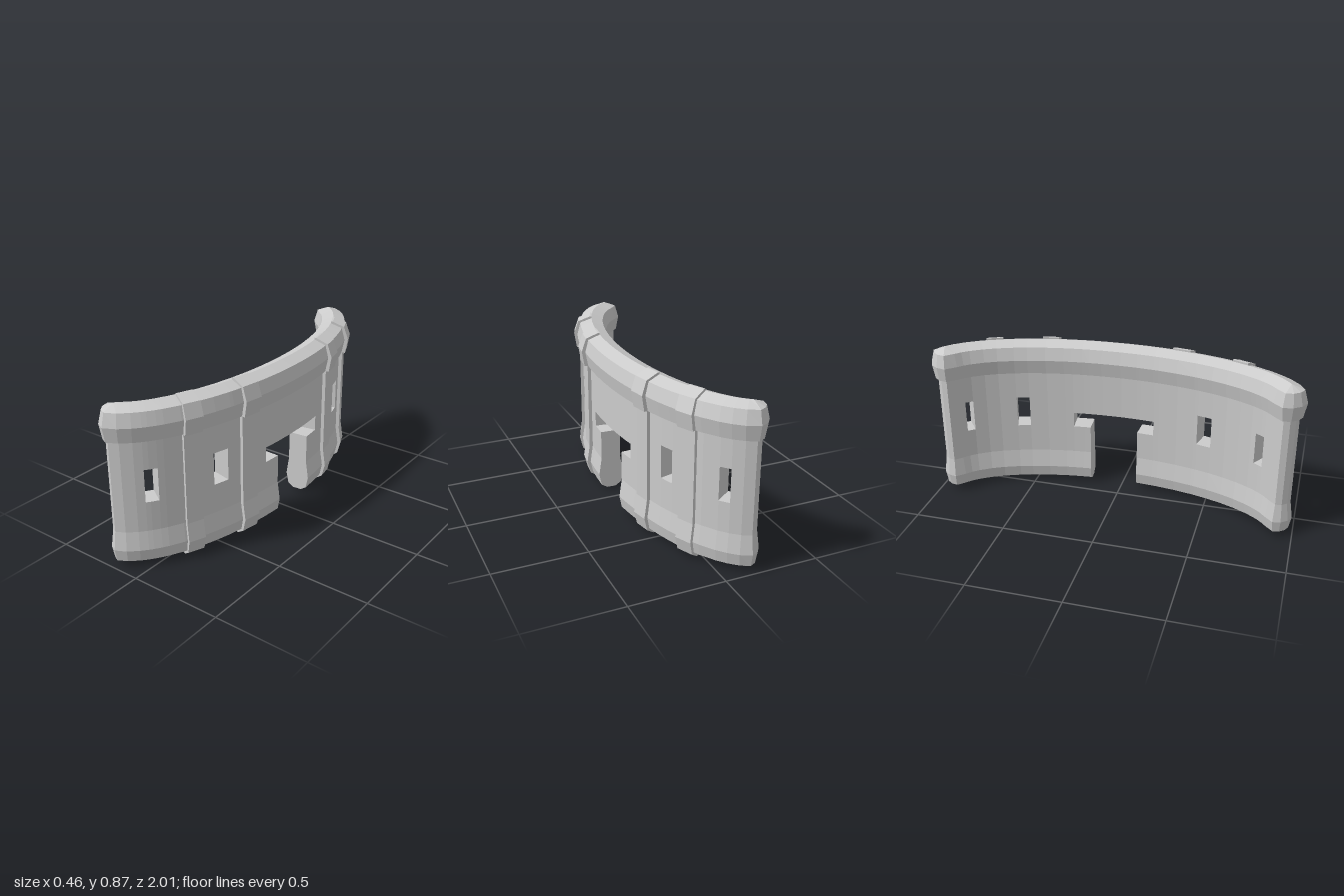
import * as THREE from 'three';

const material = new THREE.MeshStandardMaterial({ color: 0xcccccc, flatShading: true, side: THREE.DoubleSide });

const END = 0.95;        // z where the rounded ends begin
const SAG = 0.435;       // depth of the elliptical plan curve
const HALF = 0.055;      // half the wall thickness

const windows = [[-0.91, -0.866], [-0.62, -0.545], [0.46, 0.545], [0.82, 0.875]];
const doorWide = [-0.287, 0.195];
const doorNarrow = [-0.187, 0.096];
const bandSpans = [[-0.76, -0.676], [-0.46, -0.37], [0.28, 0.38], [0.62, 0.705]];

// Shared stations along the curve, including every edge of an opening
const cuts = [...windows, doorWide, doorNarrow].flat();
const stations = [...cuts];
const STEPS = 22;
for (let i = 0; i <= STEPS; i++) {
  const z = Math.sin((i / STEPS * 2 - 1) * Math.asin(END));
  if (cuts.every((c) => Math.abs(c - z) > 0.015)) stations.push(z);
}
stations.sort((a, b) => a - b);

// Point on the wall: z along the outer face, d across the thickness, t beyond the station
function place(z, d, y, t = 0) {
  const c = Math.sqrt(1 - z * z);
  const n = new THREE.Vector2(c / SAG, z).normalize();
  const o = d - HALF;
  return new THREE.Vector3(
    0.2 - SAG * (1 - c) + n.x * o - n.y * t,
    y,
    z + n.y * o + n.x * t
  );
}

// Ring of points: outer side going up, inner side coming down
function mirrored(profile) {
  const outer = profile.map(([y, d]) => [d, y]);
  return [...outer, ...outer.map(([d, y]) => [-d, y]).reverse()];
}

// Skin a list of point rings and close both ends
function skin(rings) {
  const pos = [];
  const tri = (a, b, c) => {
    const area = b.clone().sub(a).cross(c.clone().sub(a)).length();
    if (area > 1e-9) for (const p of [a, b, c]) pos.push(p.x, p.y, p.z);
  };
  const quad = (a, b, c, d) => { tri(a, b, c); tri(a, c, d); };
  const m = rings[0].length;
  for (let s = 0; s < rings.length - 1; s++) {
    const lo = rings[s], hi = rings[s + 1];
    for (let i = 0; i < m; i++) {
      const j = (i + 1) % m;
      quad(lo[i], lo[j], hi[j], hi[i]);
    }
  }
  const first = rings[0], last = rings[rings.length - 1];
  for (let i = 0; i < m / 2 - 1; i++) {
    quad(last[i], last[i + 1], last[m - 2 - i], last[m - 1 - i]);
    quad(first[m - 1 - i], first[m - 2 - i], first[i + 1], first[i]);
  }
  const geometry = new THREE.BufferGeometry();
  geometry.setAttribute('position', new THREE.Float32BufferAttribute(pos, 3));
  geometry.computeVertexNormals();
  return geometry;
}

// Sweep a profile along the curve; a run reaching an end gets a faceted round nose
function sweep(profile, from, to) {
  const ring = mirrored(profile);
  const nose = (sign, width, reach) => ring.map(([d, y]) =>
    place(sign * END, d * width, y, sign * (0.02 + reach * Math.abs(d))));
  const rings = stations
    .filter((z) => z >= from - 1e-6 && z <= to + 1e-6)
    .map((z) => ring.map(([d, y]) => place(z, d, y)));
  if (from <= -END) rings.unshift(nose(-1, 0.3, 0.85), nose(-1, 0.85, 0.58));
  if (to >= END) rings.push(nose(1, 0.85, 0.58), nose(1, 0.3, 0.85));
  return skin(rings);
}

export function createModel() {
  const model = new THREE.Group();
  model.name = 'curvedWall';
  const add = (name, geometry) => {
    const mesh = new THREE.Mesh(geometry, material);
    mesh.name = name;
    model.add(mesh);
  };

  // Horizontal layer of the wall, interrupted by openings
  const layer = (name, profile, openings) => {
    const edges = [-END, ...openings.flat().sort((a, b) => a - b), END];
    for (let i = 0; i < edges.length; i += 2) add(name, sweep(profile, edges[i], edges[i + 1]));
  };
  const straight = (y0, y1) => [[y0, HALF], [y1, HALF]];

  // Thick rounded rail on top
  layer('topRail', [[0.69, 0.07], [0.77, 0.085], [0.84, 0.066], [0.865, 0]], []);

  // Wall with window slots and a stepped doorway
  layer('upperWall', straight(0.535, 0.69), []);
  layer('windowWall', straight(0.445, 0.535), windows);
  layer('lintelWall', straight(0.36, 0.445), [...windows, doorWide]);

  // Flared foot either side of the doorway
  layer('base', [[0.015, 0.025], [0.035, 0.057], [0.1, 0.07], [0.2, HALF], [0.36, HALF]], [doorNarrow]);

  // Raised bands following the outer face
  const outline = [[0.002, 0.03], [0.028, 0.07], [0.1, 0.088], [0.2, 0.073], [0.69, 0.073],
    [0.69, 0.09], [0.775, 0.104], [0.848, 0.078], [0.875, 0.01]];
  const bandRing = [
    ...outline.map(([y, d]) => [d, y]),
    ...outline.map(([y]) => [0, y]).reverse(),
  ];
  for (const span of bandSpans) {
    add('band', skin(span.map((z) => bandRing.map(([d, y]) => place(z, d, y)))));
  }
  return model;
}
